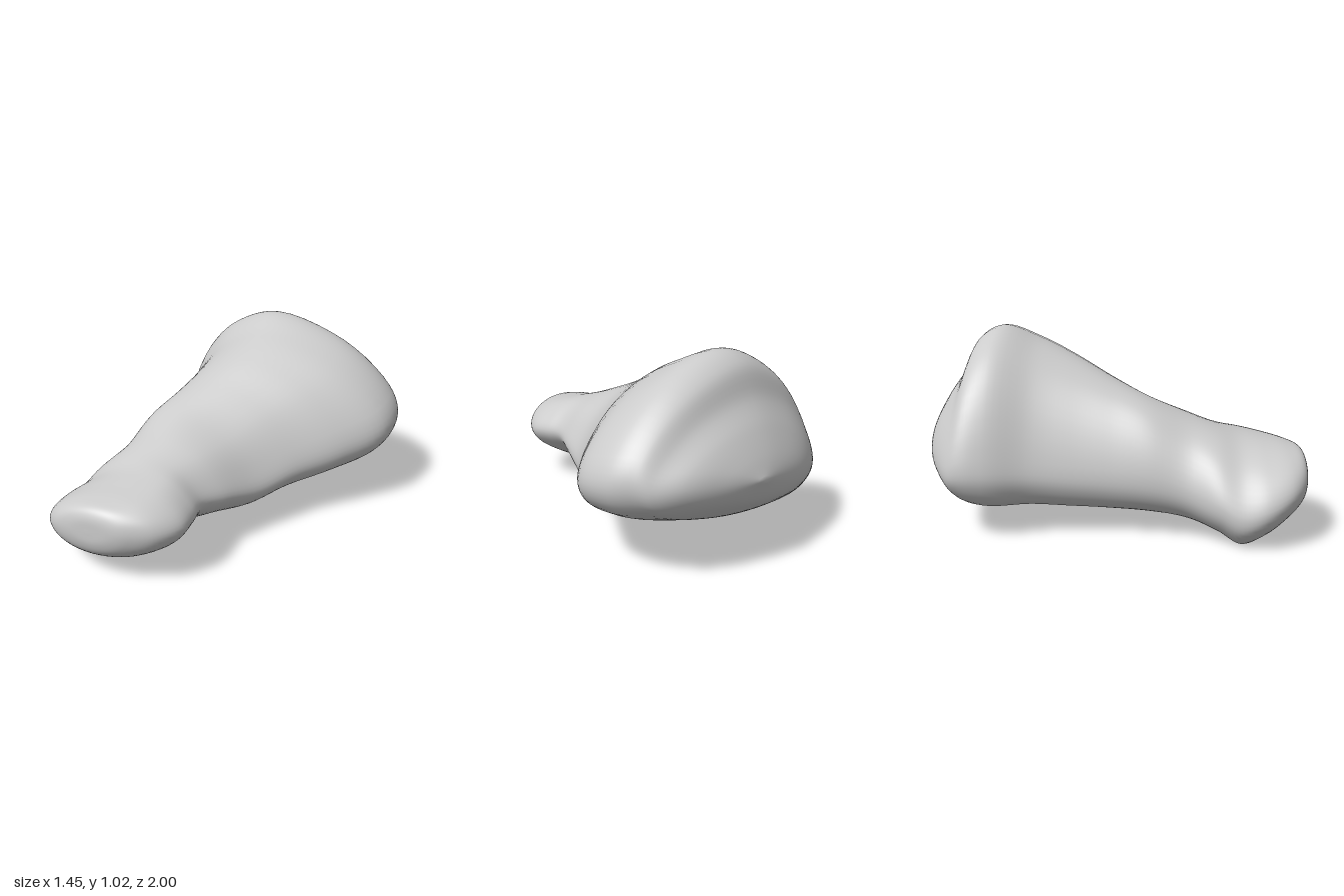
import * as THREE from 'three';
import { mergeVertices } from 'three/addons/utils/BufferGeometryUtils.js';

const AROUND = 60;
const STEPS = 6; // rings between neighbouring stations

// Cross-sections, counter-clockwise from the +x side
const BASE = [[0.72, 0.48], [0.67, 0.64], [0.36, 0.905], [-0.06, 1.03], [-0.32, 0.94], [-0.51, 0.75],
  [-0.65, 0.42], [-0.66, 0.28], [-0.57, 0.165], [-0.18, 0.14], [0.25, 0.21], [0.63, 0.345]];
const SHAFT = [[0.35, 0.31], [0.3, 0.45], [0.14, 0.64], [-0.17, 0.77], [-0.36, 0.735], [-0.48, 0.61],
  [-0.555, 0.39], [-0.54, 0.25], [-0.45, 0.15], [-0.22, 0.11], [0.05, 0.14], [0.27, 0.21]];
const HEAD = [[0.06, 0.32], [0.02, 0.4], [-0.1, 0.485], [-0.28, 0.5], [-0.45, 0.46], [-0.62, 0.35],
  [-0.73, 0.18], [-0.71, 0.08], [-0.6, 0.005], [-0.42, 0.03], [-0.2, 0.11], [0, 0.23]];

// Tilted oval that rounds off an end
const oval = (tilt) => BASE.map((_, i) => [Math.cos(i * Math.PI / 6), Math.sin(i * Math.PI / 6 + tilt)]);

// Stations from back to front: z, min x, max x, min y, max y, position in the list of profiles
const STATIONS = [
  [-1, 0.07, 0.07, 0.48, 0.48, 0],
  [-0.95, -0.32, 0.3, 0.335, 0.58, 0.2],
  [-0.88, -0.51, 0.5, 0.265, 0.69, 0.5],
  [-0.79, -0.645, 0.62, 0.2, 0.81, 0.75],
  [-0.72, -0.67, 0.67, 0.165, 0.965, 0.9],
  [-0.6, -0.66, 0.72, 0.14, 1.03, 1],
  [-0.4, -0.59, 0.7, 0.135, 0.96, 1.05],
  [-0.2, -0.56, 0.54, 0.12, 0.87, 1.25],
  [0, -0.555, 0.345, 0.11, 0.77, 1.6],
  [0.2, -0.575, 0.21, 0.1, 0.68, 2],
  [0.4, -0.6, 0.11, 0.095, 0.6, 2.4],
  [0.55, -0.68, 0.045, 0.06, 0.545, 2.8],
  [0.66, -0.715, 0.055, 0.005, 0.515, 3],
  [0.78, -0.72, 0.055, 0.05, 0.49, 3.3],
  [0.9, -0.66, -0.02, 0.125, 0.465, 3.8],
  [0.97, -0.57, -0.13, 0.19, 0.44, 4],
  [0.995, -0.48, -0.21, 0.25, 0.4, 4],
  [1, -0.35, -0.35, 0.32, 0.32, 4],
];

// Scale a profile to the unit square so that neighbouring profiles can be blended
function normalise(profile) {
  const pts = profile.map(([x, y]) => new THREE.Vector2(x, y));
  const box = new THREE.Box2().setFromPoints(pts);
  const size = box.getSize(new THREE.Vector2());
  return pts.map((p) => p.sub(box.min).divide(size));
}

// Smooth closed ring fitted to the limits of one station
function stationRing([z, x0, x1, y0, y1, place], profiles) {
  const n = Math.min(Math.floor(place), profiles.length - 2);
  const corners = profiles[n].map((p, i) => {
    const q = p.clone().lerp(profiles[n + 1][i], place - n);
    return new THREE.Vector3(q.x, q.y, 0);
  });
  const curve = new THREE.CatmullRomCurve3(corners, true);
  const ring = [];
  for (let j = 0; j < AROUND; j++) ring.push(curve.getPoint(j / AROUND));
  const box = new THREE.Box3().setFromPoints(ring);
  const size = box.getSize(new THREE.Vector3());
  return ring.map((p) => new THREE.Vector3(
    x0 + ((p.x - box.min.x) / size.x) * (x1 - x0),
    y0 + ((p.y - box.min.y) / size.y) * (y1 - y0),
    z));
}

// Loft the rings with one smooth curve per column
function loft(rings) {
  const columns = rings[0].map((_, j) => new THREE.CatmullRomCurve3(rings.map((r) => r[j])));
  const rows = (rings.length - 1) * STEPS;
  const positions = [];
  const index = [];
  for (let i = 0; i <= rows; i++) {
    for (const column of columns) positions.push(...column.getPoint(i / rows).toArray());
  }
  for (let i = 0; i < rows; i++) {
    for (let j = 0; j < AROUND; j++) {
      const k = (j + 1) % AROUND;
      const a = i * AROUND + j, b = i * AROUND + k;
      const c = b + AROUND, d = a + AROUND;
      // The end rings close to a point, so they need only one triangle per step
      if (i > 0) index.push(a, b, c);
      if (i < rows - 1) index.push(a, c, d);
    }
  }
  let geometry = new THREE.BufferGeometry();
  geometry.setAttribute('position', new THREE.Float32BufferAttribute(positions, 3));
  geometry.setIndex(index);
  geometry = mergeVertices(geometry, 1e-5);
  geometry.computeVertexNormals();
  return geometry;
}

export function createModel() {
  const group = new THREE.Group();
  group.name = 'bone';

  // Broad base, tapering shaft and tilted head in one continuous skin
  const profiles = [oval(0.4), BASE, SHAFT, HEAD, oval(0.15)].map(normalise);
  const rings = STATIONS.map((s) => stationRing(s, profiles));
  const body = new THREE.Mesh(loft(rings), new THREE.MeshStandardMaterial({ color: 0xcccccc }));
  body.name = 'boneBody';
  group.add(body);
  return group;
}
